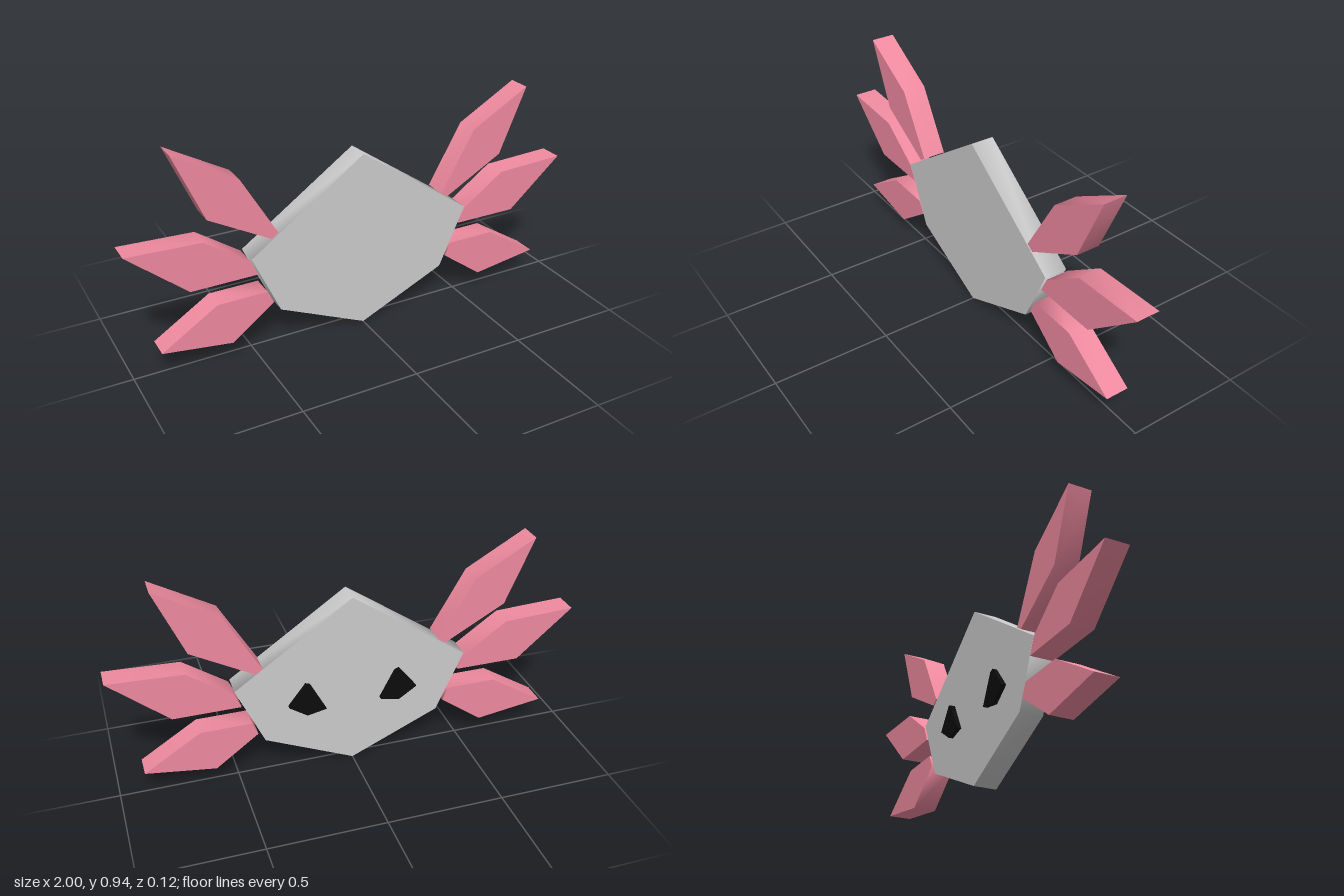
import * as THREE from 'three';
import { toCreasedNormals } from 'three/addons/utils/BufferGeometryUtils.js';

const grey = new THREE.MeshStandardMaterial({ color: 0xcccccc });
const pink = new THREE.MeshStandardMaterial({ color: 0xef8a9f });
const black = new THREE.MeshStandardMaterial({ color: 0x0c0c0c });

// Flat plate cut from an outline, spanning z0 to z1; obtuse side corners are smoothed
function plate(name, points, z0, z1, material, side = 1) {
  const shape = new THREE.Shape(points.map(([x, y]) => new THREE.Vector2(x * side, y)));
  const geometry = new THREE.ExtrudeGeometry(shape, { depth: z1 - z0, bevelEnabled: false });
  geometry.translate(0, 0, z0);
  const mesh = new THREE.Mesh(toCreasedNormals(geometry, 1.4), material);
  mesh.name = name;
  return mesh;
}

// Outlines for the left (+x) side
const fins = {
  upperFin: [[0.38, 0.525], [0.41, 0.505], [0.67, 0.65], [0.79, 0.935], [0.53, 0.787]],
  middleFin: [[0.475, 0.362], [0.757, 0.362], [1, 0.573], [0.69, 0.56], [0.505, 0.43]],
  lowerFin: [[0.412, 0.215], [0.597, 0.078], [0.892, 0.12], [0.652, 0.272], [0.438, 0.272]],
};
const eye = [[0.12, 0.29], [0.203, 0.273], [0.28, 0.325], [0.205, 0.422], [0.185, 0.415]];

export function createModel() {
  const model = new THREE.Group();
  model.name = 'finnedHead';

  // Hexagonal head
  model.add(plate('head', [[0, 0], [0.383, 0.173], [0.5, 0.437], [0, 0.785], [-0.5, 0.437], [-0.383, 0.173]],
    -0.04, 0.06, grey));

  // Mirrored fins, and eyes on the back face
  for (const [label, side] of [['left', 1], ['right', -1]]) {
    for (const [name, points] of Object.entries(fins)) {
      const title = label + name[0].toUpperCase() + name.slice(1);
      model.add(plate(title, points, -0.043, 0.058, pink, side));
    }
    model.add(plate(label + 'Eye', eye, -0.06, -0.04, black, side));
  }
  return model;
}
